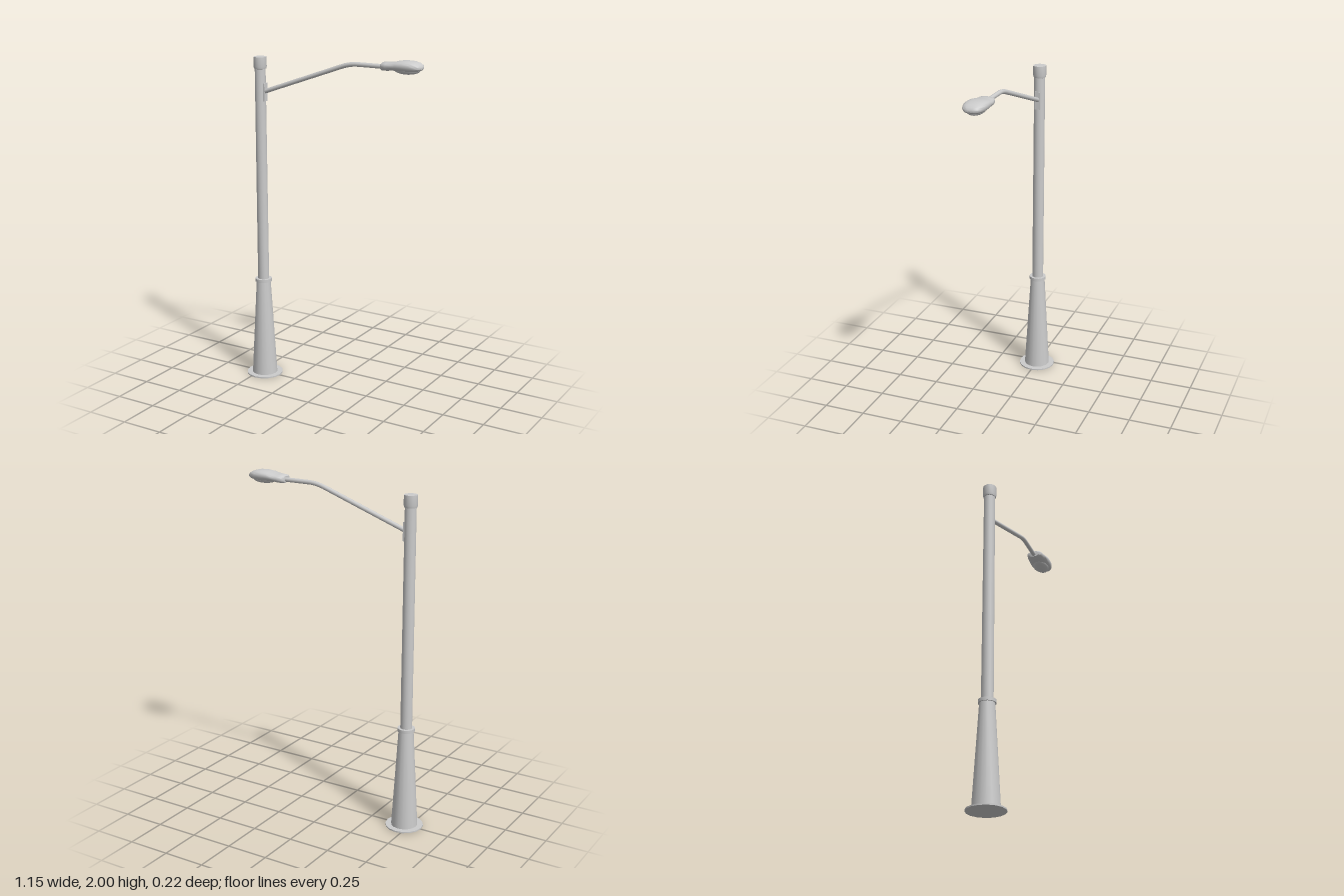
import * as THREE from 'three';
import { toCreasedNormals } from 'three/addons/utils/BufferGeometryUtils.js';

const material = new THREE.MeshStandardMaterial({ color: 0xcccccc });
const POLE_X = -0.467;

function add(parent, name, geometry, x = 0, y = 0, z = 0) {
  const mesh = new THREE.Mesh(geometry, material);
  mesh.name = name;
  mesh.position.set(x, y, z);
  parent.add(mesh);
  return mesh;
}

// Turned part from [radius, y] points, with sharp rims
function turned(points, sides = 16) {
  const profile = points.map(([r, y]) => new THREE.Vector2(r, y));
  return toCreasedNormals(new THREE.LatheGeometry(profile, sides), 0.6);
}

// Skin over rounded sections along x: [x, half width, bottom y, top y]
function loft(sections, sides = 24) {
  const positions = [], index = [];
  const squash = (v) => Math.sign(v) * Math.pow(Math.abs(v), 0.8);
  for (const [x, w, low, high] of sections) {
    const mid = low + (high - low) * 0.55;
    for (let i = 0; i < sides; i++) {
      const a = (i / sides) * Math.PI * 2;
      const s = squash(Math.sin(a));
      positions.push(x, mid + s * (s > 0 ? high - mid : mid - low), squash(Math.cos(a)) * w);
    }
  }
  const last = sections.length - 1;
  for (let j = 0; j < last; j++) {
    for (let i = 0; i < sides; i++) {
      const a = j * sides + i, b = j * sides + (i + 1) % sides;
      index.push(a, a + sides, b, b, a + sides, b + sides);
    }
  }
  // End caps
  const end = last * sides;
  for (let i = 1; i < sides - 1; i++) {
    index.push(0, i, i + 1, end, end + i + 1, end + i);
  }
  const geometry = new THREE.BufferGeometry();
  geometry.setAttribute('position', new THREE.Float32BufferAttribute(positions, 3));
  geometry.setIndex(index);
  // Make the faces point outward
  const p = geometry.attributes.position, v = [0, 1, 2].map(() => new THREE.Vector3());
  let volume = 0;
  for (let i = 0; i < index.length; i += 3) {
    v.forEach((q, k) => q.fromBufferAttribute(p, index[i + k]));
    volume += v[0].dot(v[1].clone().cross(v[2]));
  }
  if (volume < 0) geometry.setIndex(index.slice().reverse());
  return toCreasedNormals(geometry, 0.8);
}

export function createModel() {
  const model = new THREE.Group();
  model.name = 'streetLamp';

  // Post: flange, tapered base, collar, shaft and cap
  const post = new THREE.Group();
  post.name = 'post';
  post.position.x = POLE_X;
  model.add(post);
  add(post, 'baseFlange', turned([[0, 0], [0.11, 0], [0.11, 0.008], [0, 0.008]]));
  add(post, 'taperedBase', turned([[0.077, 0.006], [0.043, 0.6]]));
  add(post, 'collar', turned([[0.04, 0.596], [0.05, 0.596], [0.05, 0.615], [0.03, 0.615]]));
  add(post, 'shaft', turned([[0.034, 0.61], [0.032, 1.9]]));
  add(post, 'cap', turned([[0.03, 1.885], [0.036, 1.887], [0.039, 1.9], [0.038, 1.955], [0, 1.956]]));

  // Small plate that carries the arm
  add(model, 'armBracket', new THREE.BoxGeometry(0.012, 0.105, 0.032), POLE_X + 0.031, 1.752, 0);

  // Arm: straight rise, soft bend, level end
  const point = (x, y) => new THREE.Vector3(x, y, 0);
  const path = new THREE.CurvePath();
  path.add(new THREE.LineCurve3(point(-0.44, 1.755), point(0.07, 1.936)));
  path.add(new THREE.QuadraticBezierCurve3(point(0.07, 1.936), point(0.125, 1.957), point(0.18, 1.957)));
  path.add(new THREE.LineCurve3(point(0.18, 1.957), point(0.35, 1.957)));
  add(model, 'arm', new THREE.TubeGeometry(path, 40, 0.013, 12, false));

  // Lamp head: narrow neck swelling into a rounded shell
  const head = new THREE.Group();
  head.name = 'lampHead';
  model.add(head);
  add(head, 'headShell', loft([
    [0.332, 0.032, 1.941, 1.977],
    [0.342, 0.046, 1.937, 1.984],
    [0.37, 0.052, 1.938, 1.985],
    [0.405, 0.058, 1.942, 1.988],
    [0.435, 0.061, 1.941, 1.996],
    [0.475, 0.063, 1.939, 2.0],
    [0.515, 0.06, 1.94, 1.999],
    [0.545, 0.052, 1.944, 1.992],
    [0.562, 0.04, 1.95, 1.982],
    [0.571, 0.022, 1.958, 1.971],
  ]));

  // Shallow lens under the shell
  const lens = add(head, 'lens', new THREE.SphereGeometry(1, 24, 12), 0.48, 1.95, 0);
  lens.scale.set(0.078, 0.025, 0.046);

  return model;
}
